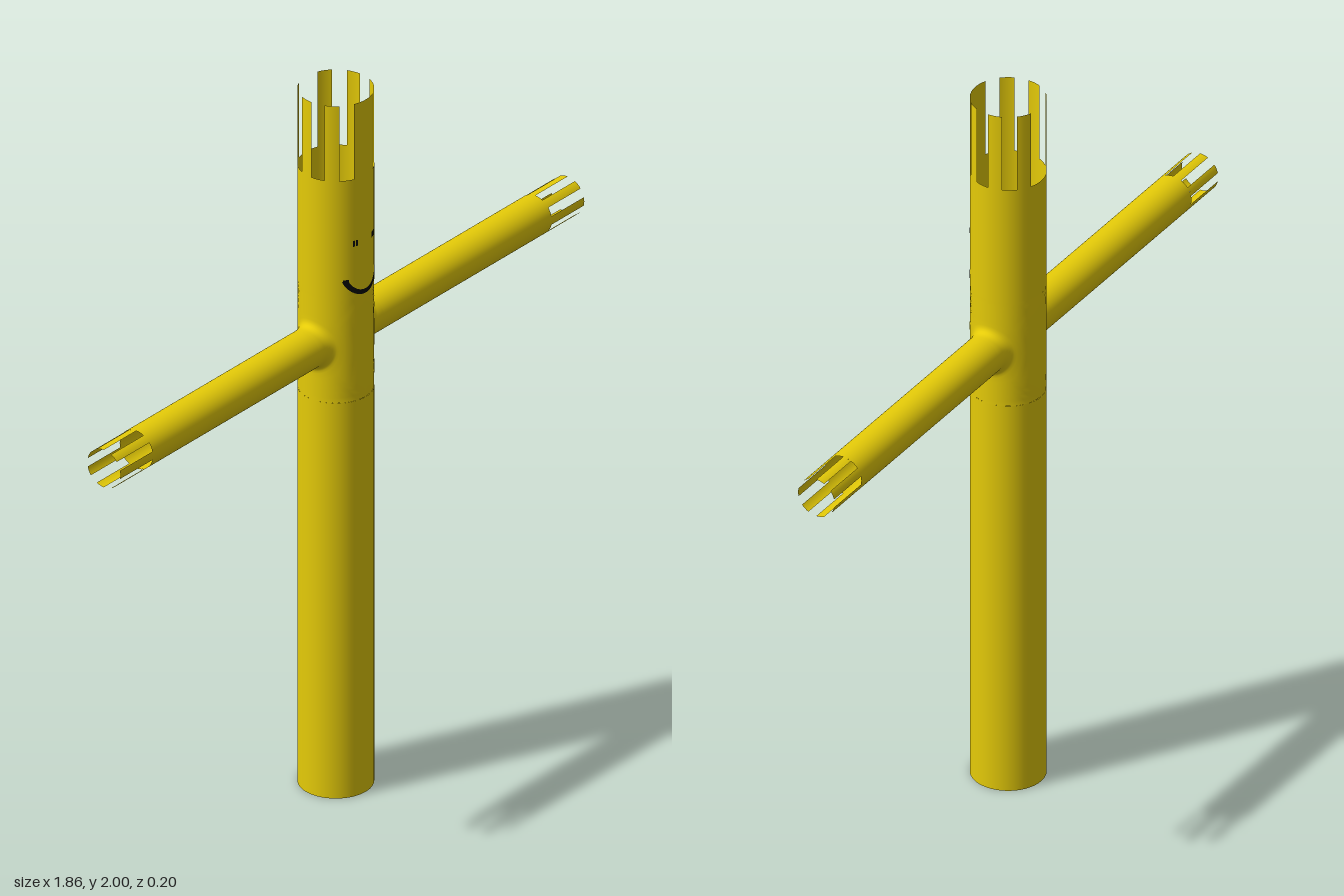
import * as THREE from 'three';

const R = 0.0975;       // body radius
const A = 0.054;        // arm radius
const ARM_Y = 1.295;    // arm axis height
const HALF = Math.PI * R / 2; // half size of the square wall patch around each arm

const yellow = new THREE.MeshStandardMaterial({ color: 0xe5cb08, side: THREE.DoubleSide });
yellow.name = 'yellow';
const black = new THREE.MeshStandardMaterial({ color: 0x050505, side: THREE.DoubleSide });
black.name = 'black';

function add(parent, name, geometry, material = yellow) {
  const mesh = new THREE.Mesh(geometry, material);
  mesh.name = name;
  parent.add(mesh);
  return mesh;
}

// Open tube wall between two heights
function tube(parent, name, radius, y0, y1) {
  add(parent, name, new THREE.CylinderGeometry(radius, radius, y1 - y0, 64, 1, true)).position.y = (y0 + y1) / 2;
}

// Strips continuing a tube, each starting at an angle from the front
function fingers(parent, name, radius, y0, y1, starts, width) {
  const group = new THREE.Group();
  group.name = name;
  for (const start of starts) {
    const strip = new THREE.CylinderGeometry(radius, radius, y1 - y0, 4, 1, true, start, width);
    add(group, 'finger', strip).position.y = (y0 + y1) / 2;
  }
  parent.add(group);
}

// Half of the body wall with a round opening that flares into the arm
function shoulderGeometry() {
  const n = 64, wallRows = 6, filletRows = 6, hole = 0.076;
  const onBody = (s, y) => new THREE.Vector3(R * Math.cos(s / R), y, -R * Math.sin(s / R));
  const positions = [], index = [];
  const rows = wallRows + filletRows + 2;
  for (let j = 0; j < rows; j++) {
    for (let i = 0; i < n; i++) {
      const c = Math.cos(i / n * 2 * Math.PI), s = Math.sin(i / n * 2 * Math.PI);
      let p;
      if (j <= wallRows) {
        const edge = HALF / Math.max(Math.abs(c), Math.abs(s));
        const d = THREE.MathUtils.lerp(edge, hole, j / wallRows);
        p = onBody(d * c, d * s);
      } else {
        const corner = new THREE.Vector3(Math.sqrt(R * R - (A * c) ** 2), A * s, -A * c);
        const end = corner.clone().setX(corner.x + 0.024);
        const curve = new THREE.QuadraticBezierCurve3(onBody(hole * c, hole * s), corner, end);
        p = j < rows - 1 ? curve.getPoint((j - wallRows) / filletRows) : end.setX(0.13);
      }
      positions.push(p.x, p.y, p.z);
      if (j > 0) {
        const k = (i + 1) % n, o = (j - 1) * n, q = j * n;
        index.push(o + i, o + k, q + i, o + k, q + k, q + i);
      }
    }
  }
  const g = new THREE.BufferGeometry();
  g.setAttribute('position', new THREE.Float32BufferAttribute(positions, 3));
  g.setIndex(index);
  g.computeVertexNormals();
  return g;
}

// Lay a flat front-facing shape onto the body surface
function wrap(geometry) {
  const p = geometry.attributes.position;
  const r = R + 0.0008;
  for (let i = 0; i < p.count; i++) p.setZ(i, Math.sqrt(r * r - p.getX(i) ** 2));
  geometry.computeVertexNormals();
  return geometry;
}

export function createModel() {
  const model = new THREE.Group();
  model.name = 'tubeFigure';

  // Body and crown of strips; the two front strips join into a wide one
  tube(model, 'lowerBody', R, 0, ARM_Y - HALF);
  tube(model, 'upperBody', R, ARM_Y + HALF, 1.783);
  const step = Math.PI / 8;
  const hairStarts = [0, 2, 4, 6, -1, -3, -5, -7].map((k) => k * step);
  fingers(model, 'hair', R, 1.783, 2, hairStarts, step);

  // Arms with shoulders and seven hand strips
  const shoulder = shoulderGeometry();
  const pitch = 2 * Math.PI / 7;
  const handStarts = Array.from({ length: 7 }, (_, k) => (k - 0.25) * pitch);
  for (const side of [1, -1]) {
    const half = new THREE.Group();
    half.name = side > 0 ? 'leftSide' : 'rightSide';
    half.position.y = ARM_Y;
    add(half, 'shoulder', shoulder).rotation.y = side > 0 ? 0 : Math.PI;
    const arm = new THREE.Group();
    arm.name = 'arm';
    arm.rotation.z = -side * Math.PI / 2;
    tube(arm, 'sleeve', A, 0.13, 0.8);
    fingers(arm, 'hand', A, 0.8, 0.93, handStarts, pitch / 2);
    half.add(arm);
    model.add(half);

    // Eye made of two short strokes, and a cheek mark
    for (const x of [0.03, 0.038]) {
      add(model, 'eye', wrap(new THREE.PlaneGeometry(0.005, 0.017, 2, 1).translate(side * x, 1.597, 0)), black);
    }
    add(model, 'cheek', wrap(new THREE.PlaneGeometry(0.012, 0.012, 3, 1).translate(side * 0.057, 1.49, 0)), black);
  }

  // Smile
  const smile = new THREE.RingGeometry(0.055, 0.068, 32, 2, Math.PI + 0.28, Math.PI - 0.56);
  add(model, 'smile', wrap(smile.translate(0, 1.511, 0)), black);
  return model;
}
